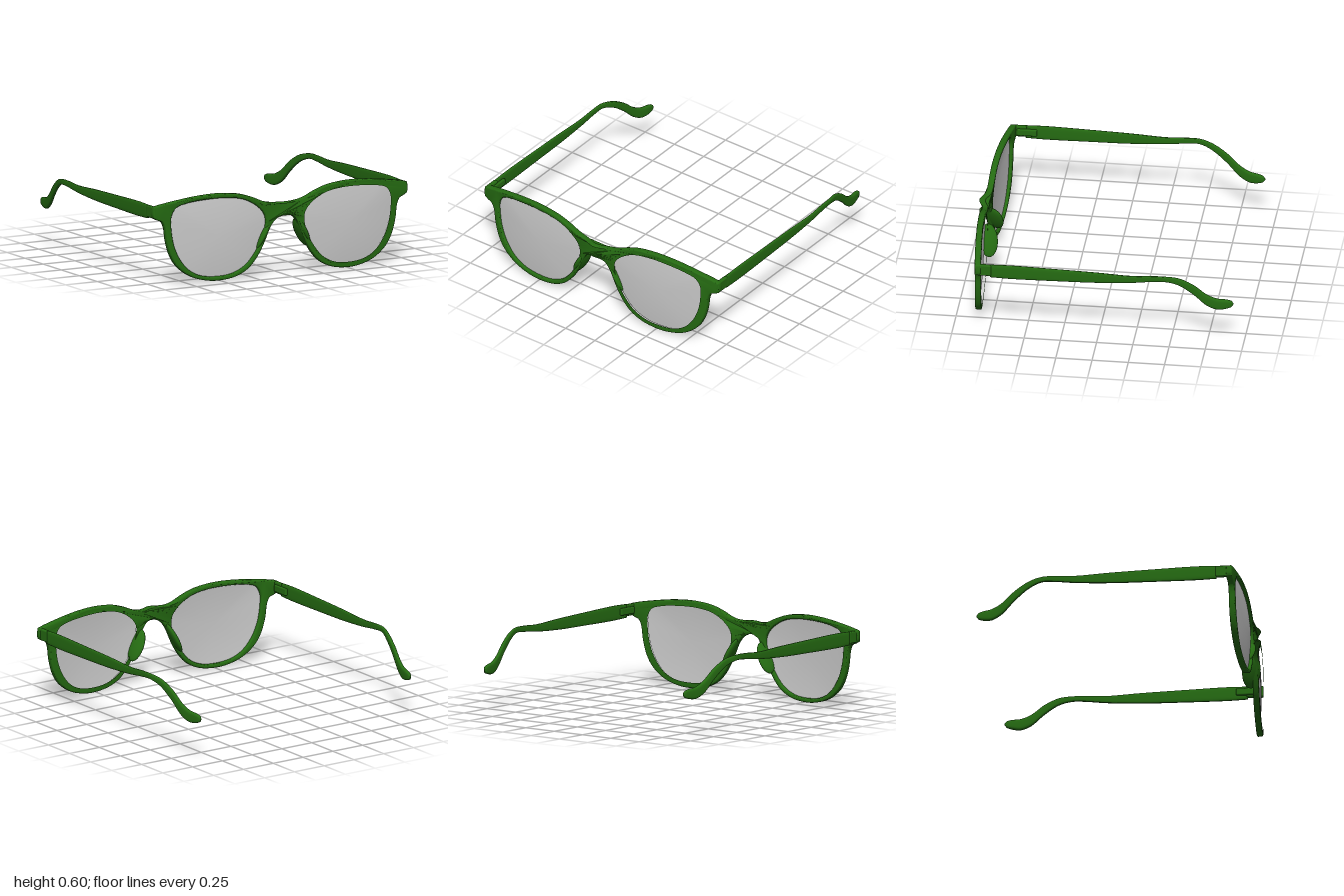
import * as THREE from 'three';
import { mergeVertices, toCreasedNormals } from 'three/addons/utils/BufferGeometryUtils.js';
import { RoundedBoxGeometry } from 'three/addons/geometries/RoundedBoxGeometry.js';
import { ParametricGeometry } from 'three/addons/geometries/ParametricGeometry.js';

// Half of the frame's outline, from the top of the bridge round to its underside
const OUTLINE = [
  [0, 0.51], [0.1, 0.51], [0.16, 0.522], [0.25, 0.56], [0.35, 0.59], [0.5, 0.605], [0.65, 0.6], [0.8, 0.582],
  [0.97, 0.553], [0.995, 0.545], [1, 0.53], [0.998, 0.475], [0.97, 0.455], [0.935, 0.44], [0.915, 0.4],
  [0.9, 0.3], [0.87, 0.2], [0.82, 0.12], [0.72, 0.045], [0.6, 0.008], [0.5, 0.001], [0.38, 0.018],
  [0.29, 0.06], [0.22, 0.13], [0.16, 0.23], [0.105, 0.35], [0.07, 0.395], [0.035, 0.413], [0, 0.416],
];
// Lens opening on the +x side
const OPENING = [
  [0.145, 0.39], [0.16, 0.44], [0.22, 0.5], [0.32, 0.55], [0.45, 0.571], [0.6, 0.571], [0.75, 0.556],
  [0.83, 0.53], [0.865, 0.47], [0.865, 0.38], [0.845, 0.27], [0.8, 0.17], [0.73, 0.09], [0.64, 0.045],
  [0.52, 0.03], [0.4, 0.042], [0.3, 0.09], [0.22, 0.18], [0.165, 0.28],
];
// Temple stations: z, top y, bottom y, centre x, half width
const TEMPLE = [
  [0.735, 0.55, 0.455, 0.984, 0.011], [0.6, 0.553, 0.451, 0.984, 0.011], [0.3, 0.546, 0.454, 0.983, 0.01],
  [0, 0.537, 0.46, 0.981, 0.01], [-0.24, 0.526, 0.475, 0.979, 0.01], [-0.37, 0.533, 0.49, 0.977, 0.01],
  [-0.47, 0.532, 0.494, 0.973, 0.011], [-0.56, 0.512, 0.462, 0.951, 0.013], [-0.66, 0.455, 0.385, 0.93, 0.014],
  [-0.75, 0.377, 0.296, 0.912, 0.015], [-0.82, 0.342, 0.262, 0.897, 0.016], [-0.88, 0.333, 0.266, 0.886, 0.016],
  [-0.915, 0.322, 0.279, 0.881, 0.012], [-0.93, 0.303, 0.298, 0.879, 0.003],
];

const spline = (pts, closed) => new THREE.CatmullRomCurve3(
  pts.map(([x, y, z = 0]) => new THREE.Vector3(x, y, z)), closed, 'centripetal');

// Depth of the wrapped front, with the bridge arched forward
const frontZ = (x) => 0.878 - 0.058 * x * x + 0.034 * Math.exp(-((x / 0.07) ** 2));

const smooth = (geo) => {
  geo.deleteAttribute('uv');
  geo.deleteAttribute('normal');
  const merged = mergeVertices(geo, 1e-5);
  merged.computeVertexNormals();
  return merged;
};

function frameGeometry() {
  const mirrored = OUTLINE.slice(1, -1).reverse().map(([x, y]) => [-x, y]);
  const flat = (pts, n) => spline(pts, true).getPoints(n).slice(0, -1).map((p) => new THREE.Vector2(p.x, p.y));
  const shape = new THREE.Shape(flat([...OUTLINE, ...mirrored], 336));
  for (const s of [1, -1]) {
    shape.holes.push(new THREE.Path(flat(OPENING.map(([x, y]) => [s * x, y]), 140)));
  }
  const bevel = 0.009;
  const geo = new THREE.ExtrudeGeometry(shape, {
    depth: 0.042 - 2 * bevel, bevelEnabled: true, bevelSize: bevel, bevelThickness: bevel,
    bevelOffset: -bevel, bevelSegments: 3,
  });
  geo.translate(0, 0, -0.021 + bevel);
  const pos = geo.attributes.position;
  for (let i = 0; i < pos.count; i++) pos.setZ(i, pos.getZ(i) + frontZ(pos.getX(i)));
  return toCreasedNormals(geo, 0.6);
}

function lensGeometry() {
  const edge = spline(OPENING, true);
  const geo = new ParametricGeometry((u, v, out) => {
    const p = edge.getPoint(u % 1);
    const x = 0.51 + (p.x - 0.51) * v * 1.012;
    const y = 0.31 + (p.y - 0.31) * v * 1.012;
    out.set(x, y, frontZ(x) + 0.014 * (1 - v * v));
  }, 96, 12);
  return smooth(geo);
}

function templeGeometry() {
  const centre = spline(TEMPLE.map(([z, t, b, x]) => [x, (t + b) / 2, z]));
  const size = spline(TEMPLE.map(([z, t, b, , w]) => [w, (t - b) / 2, z]));
  const round = (c) => Math.sign(c) * Math.abs(c) ** 0.6;
  const last = 80;
  const geo = new ParametricGeometry((u, v, out) => {
    // The first and last rows close the ends
    const row = Math.round(v * last);
    const t = THREE.MathUtils.clamp((row - 1) / (last - 2), 0, 1);
    const k = row === 0 || row === last ? 0 : 1;
    const c = centre.getPoint(t), h = size.getPoint(t), a = (u % 1) * Math.PI * 2;
    out.set(c.x + k * h.x * round(Math.cos(a)), c.y - k * h.y * round(Math.sin(a)), c.z);
  }, 24, last);
  return smooth(geo);
}

export function createModel() {
  const model = new THREE.Group();
  model.name = 'eyeglasses';
  const green = new THREE.MeshStandardMaterial({ color: 0x256b12 });
  const grey = new THREE.MeshStandardMaterial({ color: 0xcccccc, side: THREE.DoubleSide });
  const add = (parent, name, geo, mat = green) => {
    const mesh = new THREE.Mesh(geo, mat);
    mesh.name = name;
    parent.add(mesh);
    return mesh;
  };

  add(model, 'frontFrame', frameGeometry());

  const lens = lensGeometry();
  const temple = templeGeometry();
  const endBlock = new RoundedBoxGeometry(0.03, 0.08, 0.115, 3, 0.008);
  const hinge = new RoundedBoxGeometry(0.022, 0.05, 0.14, 3, 0.009);
  const pad = new THREE.SphereGeometry(1, 32, 20);

  // Each side is the same set of parts, mirrored in x
  for (const [name, s] of [['leftSide', 1], ['rightSide', -1]]) {
    const side = new THREE.Group();
    side.name = name;
    side.scale.x = s;
    model.add(side);
    add(side, 'lens', lens, grey);
    add(side, 'temple', temple);
    add(side, 'endBlock', endBlock).position.set(0.983, 0.507, 0.785);
    add(side, 'hinge', hinge).position.set(0.966, 0.505, 0.725);

    // Nose pad, leaning along the inner edge of the rim
    const nosePad = add(side, 'nosePad', pad);
    nosePad.position.set(0.157, 0.275, 0.85);
    nosePad.scale.set(0.024, 0.115, 0.064);
    nosePad.rotation.set(0, 0.25, 0.48);
  }
  return model;
}
